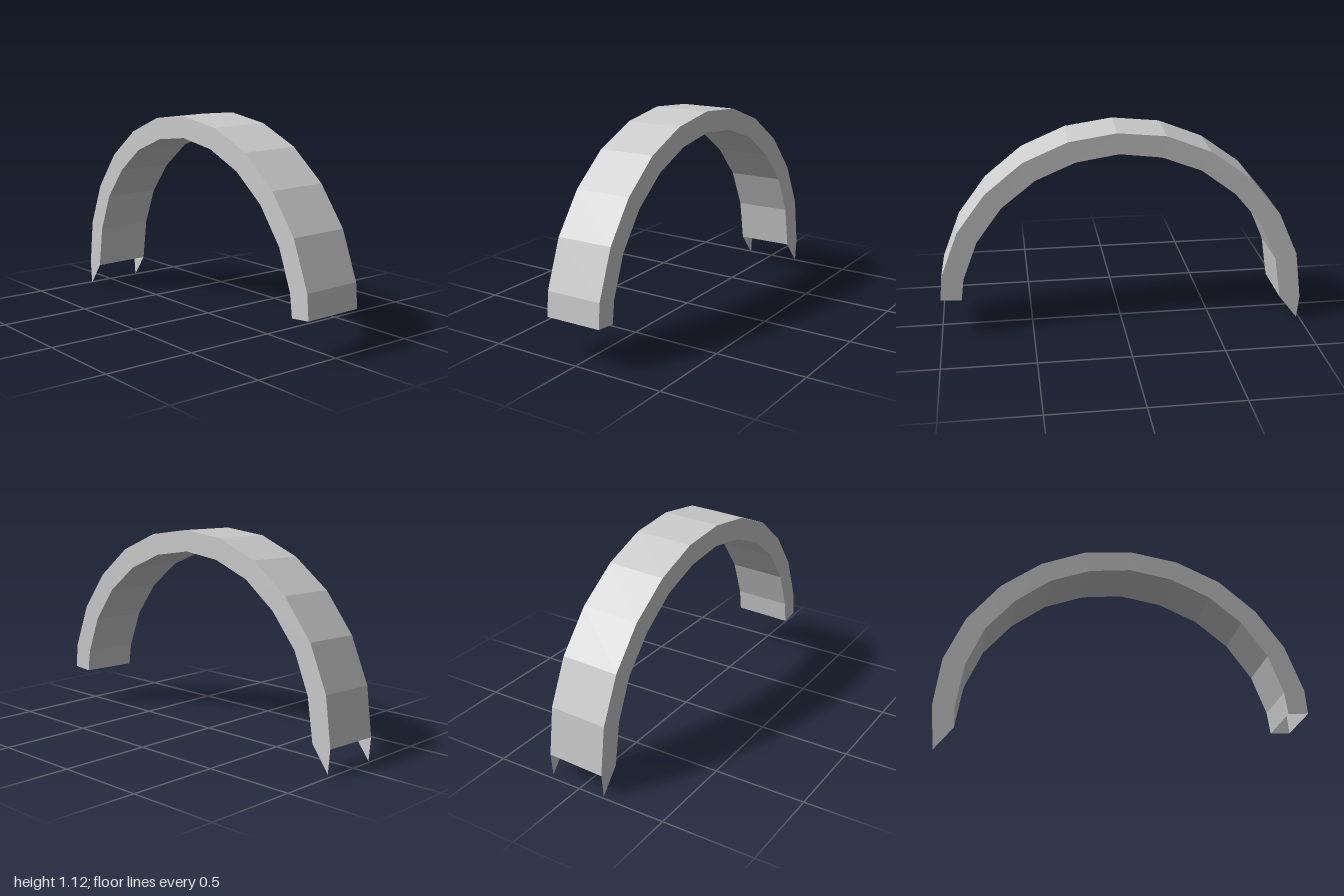
import * as THREE from 'three';

// Arch profile on the front wall, from the pointed end over the top
const OUTER = [[-1, 0.128], [-0.966, 0.39], [-0.86, 0.63], [-0.69, 0.838], [-0.475, 0.993], [-0.235, 1.087],
  [0.025, 1.112], [0.283, 1.073], [0.523, 0.97], [0.726, 0.805], [0.88, 0.598], [0.977, 0.347], [0.988, 0.214]];
const INNER = [[-0.886, 0.13], [-0.85, 0.363], [-0.758, 0.577], [-0.609, 0.753], [-0.422, 0.892], [-0.208, 0.972],
  [0.016, 0.998], [0.246, 0.961], [0.459, 0.87], [0.641, 0.726], [0.78, 0.537], [0.86, 0.326], [0.876, 0.204]];
const TIP = [-0.988, 0];

// The walls bow gently in z; the back wall is a slightly shifted copy
const front = ([x, y]) => [x, y, 0.177 + 0.017 * x - 0.017 * x * x];
const back = (p) => {
  const [x, y, z] = front(p);
  return [x + 0.007, y + 0.007, z - 0.323];
};

const material = new THREE.MeshStandardMaterial({ color: 0xcccccc, flatShading: true, side: THREE.DoubleSide });

// Mesh from a list of triangles and quads
function panel(name, faces) {
  const pos = [];
  for (const f of faces) {
    for (let i = 1; i < f.length - 1; i++) pos.push(...f[0], ...f[i], ...f[i + 1]);
  }
  const geometry = new THREE.BufferGeometry();
  geometry.setAttribute('position', new THREE.Float32BufferAttribute(pos, 3));
  geometry.computeVertexNormals();
  const mesh = new THREE.Mesh(geometry, material);
  mesh.name = name;
  return mesh;
}

export function createModel() {
  const group = new THREE.Group();
  group.name = 'hollowArch';
  const wall = [[TIP, INNER[0], OUTER[0]]];
  const outer = [], inner = [];
  for (let i = 0; i < OUTER.length - 1; i++) {
    const [a, b, c, d] = [OUTER[i], OUTER[i + 1], INNER[i], INNER[i + 1]];
    wall.push([c, d, b, a]);
    outer.push([front(a), front(b), back(b), back(a)]);
    inner.push([back(c), back(d), front(d), front(c)]);
  }
  // Side walls with pointed flaps, and the open-ended strips between them
  group.add(
    panel('frontWall', wall.map((f) => f.map(front))),
    panel('backWall', wall.map((f) => f.map(back).reverse())),
    panel('outerStrip', outer),
    panel('innerStrip', inner),
  );
  return group;
}
